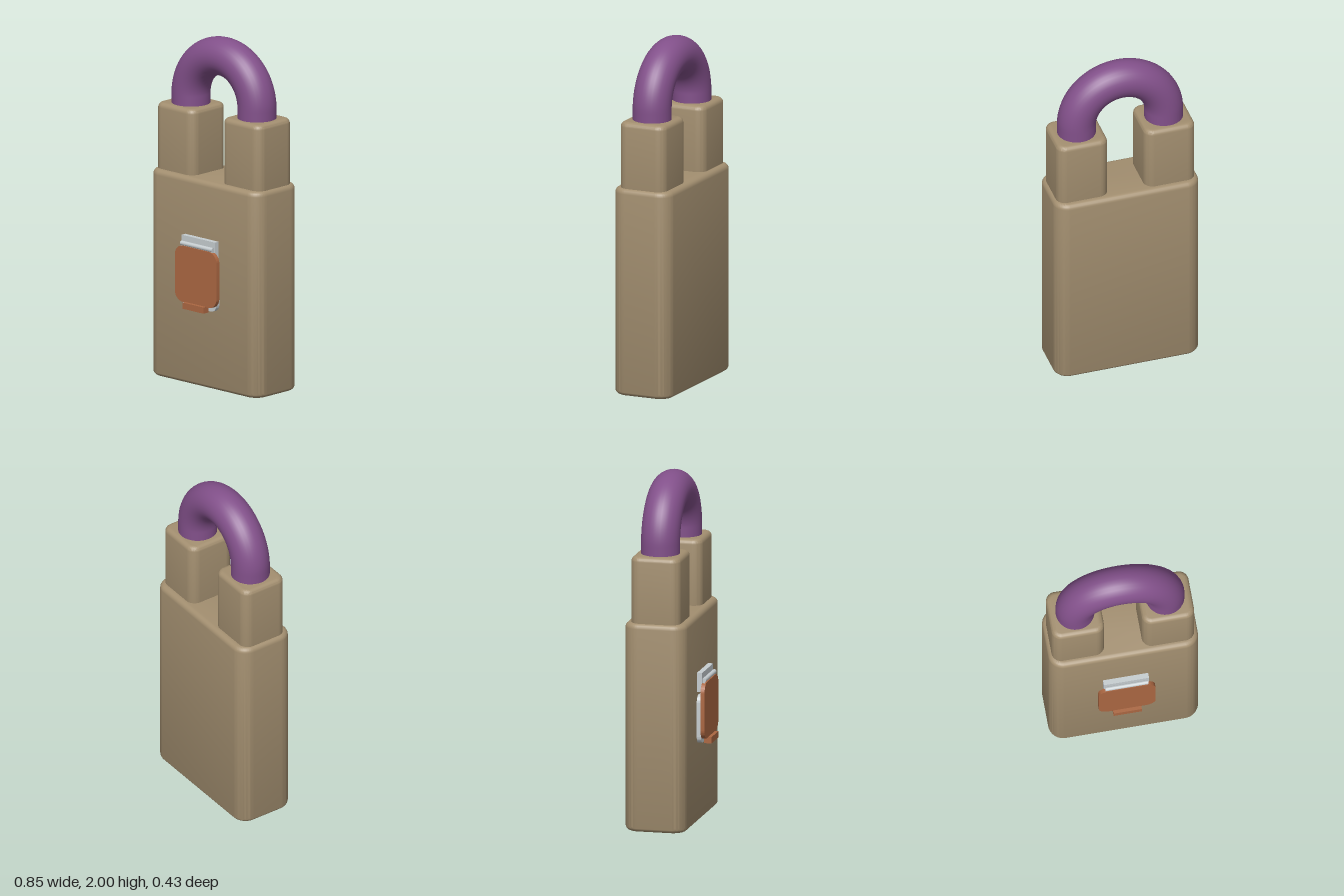
import * as THREE from 'three';
import { toCreasedNormals } from 'three/addons/utils/BufferGeometryUtils.js';

const material = (name, color) => {
  const m = new THREE.MeshStandardMaterial({ color });
  m.name = name;
  return m;
};

function roundedRect(w, h, r) {
  const s = new THREE.Shape();
  const x = w / 2, y = h / 2, q = Math.PI / 2;
  s.absarc(x - r, y - r, r, 0, q);
  s.absarc(-x + r, y - r, r, q, 2 * q);
  s.absarc(-x + r, -y + r, r, 2 * q, 3 * q);
  s.absarc(x - r, -y + r, r, 3 * q, 4 * q);
  s.closePath();
  return s;
}

// Rounded slab extruded along z from 0 to depth, with rounded rims
function slab(w, h, depth, r, bevel) {
  const g = new THREE.ExtrudeGeometry(roundedRect(w - 2 * bevel, h - 2 * bevel, r - bevel), {
    depth: depth - 2 * bevel, curveSegments: 10, bevelEnabled: bevel > 0,
    bevelSize: bevel, bevelThickness: bevel, bevelSegments: 5,
  });
  g.translate(0, 0, bevel);
  return toCreasedNormals(g, 0.6);
}

export function createModel() {
  const model = new THREE.Group();
  model.name = 'padlock';
  const tan = material('tan casing', 0xa38f70);
  const purple = material('purple shackle', 0x82508a);
  const copper = material('copper cover', 0xab6742);
  const silver = material('silver metal', 0xc6cdd0);

  function add(name, geometry, mat, x, y, z) {
    const mesh = new THREE.Mesh(geometry, mat);
    mesh.name = name;
    mesh.position.set(x, y, z);
    model.add(mesh);
    return mesh;
  }
  const upright = (w, d, h, r, b) => slab(w, d, h, r, b).rotateX(-Math.PI / 2);
  const zMid = -0.036;

  // Casing and the two shoulder posts
  add('body', upright(0.854, 0.358, 1.2, 0.085, 0.03), tan, 0, 0, zMid);
  for (const [side, name] of [[1, 'leftPost'], [-1, 'rightPost']]) {
    add(name, upright(0.299, 0.286, 0.42, 0.055, 0.028), tan, side * 0.2575, 1.16, zMid);
  }

  // Shackle: half ring with straight legs running into the posts
  const R = 0.257, arcY = 1.633;
  const path = new THREE.CurvePath();
  const points = [];
  for (let i = 0; i <= 32; i++) {
    const a = Math.PI * (1 - i / 32);
    points.push(new THREE.Vector3(R * Math.cos(a), R * Math.sin(a), 0));
  }
  path.add(new THREE.LineCurve3(new THREE.Vector3(-R, -0.1, 0), points[0]));
  path.add(new THREE.CatmullRomCurve3(points));
  path.add(new THREE.LineCurve3(points[32], new THREE.Vector3(R, -0.1, 0)));
  add('shackle', new THREE.TubeGeometry(path, 72, 0.11, 32), purple, 0, arcY, zMid);

  // Keyhole plate and hinge bracket on the front
  add('keyholePlate', slab(0.27, 0.275, 0.026, 0.04, 0), silver, 0, 0.6, 0.142);
  add('hingeBracket', new THREE.BoxGeometry(0.258, 0.11, 0.032), silver, 0, 0.815, 0.157);
  add('hingeArm', new THREE.BoxGeometry(0.246, 0.045, 0.02), silver, 0, 0.806, 0.178);
  const pin = new THREE.CylinderGeometry(0.013, 0.013, 0.246, 16).rotateZ(Math.PI / 2);
  add('hingePin', pin, silver, 0, 0.826, 0.181);

  // Swinging cover with its finger tab
  add('cover', slab(0.324, 0.325, 0.024, 0.06, 0), copper, 0, 0.652, 0.171);
  add('coverTab', new THREE.BoxGeometry(0.162, 0.036, 0.042), copper, 0, 0.474, 0.194);
  return model;
}
